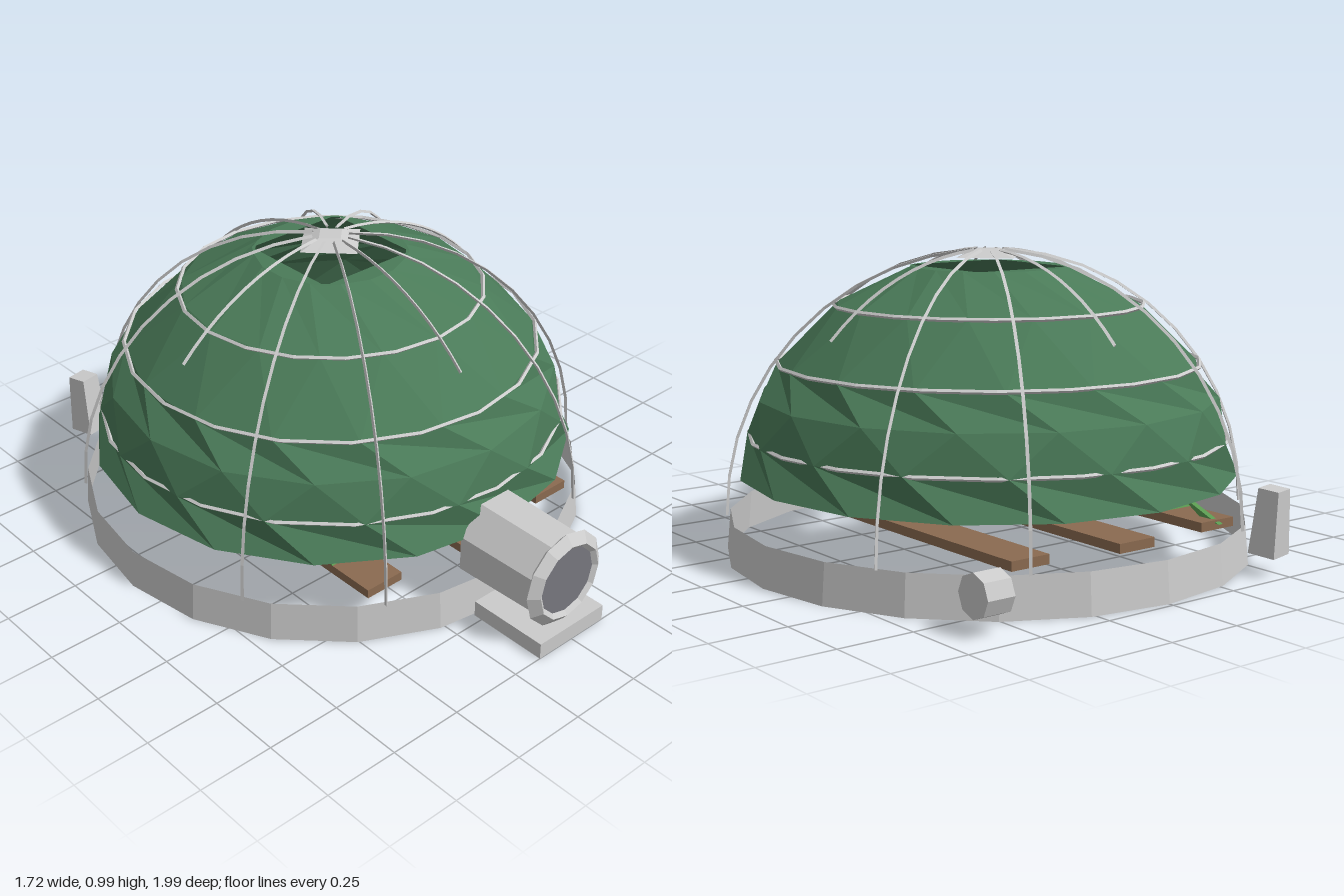
import * as THREE from 'three';

const mat = (color) => new THREE.MeshStandardMaterial({ color, flatShading: true, side: THREE.DoubleSide });
const CZ = -0.125; // centre of the dome along z
const BASE = 0.13; // height of the foundation ring
const R = 0.855; // radius of the frame sphere

export function createModel() {
  const group = new THREE.Group();
  const grey = mat(0xcccccc);
  const dark = mat(0x77777f);
  const canopyGreen = mat(0x4a7a58);
  const leafGreen = mat(0x5a9a50);
  const wood = mat(0x8a6a50);

  const add = (name, geometry, material, x = 0, y = 0, z = 0) => {
    const mesh = new THREE.Mesh(geometry, material);
    mesh.name = name;
    mesh.position.set(x, y, z);
    group.add(mesh);
    return mesh;
  };

  // Foundation wall, an open ring
  add('foundationRing', new THREE.CylinderGeometry(0.848, 0.86, BASE, 20, 1, true), grey, 0, BASE / 2, CZ);

  // Canopy: faceted shell, alternate rings turned half a step, square vent on top
  const profile = [[0.815, 0.265], [0.785, 0.39], [0.75, 0.515], [0.685, 0.62], [0.495, 0.81], [0.25, 0.93], [0.18, 0.93]];
  const sides = 16;
  const canopy = new THREE.LatheGeometry(profile.map(([r, y]) => new THREE.Vector2(r, y)), sides);
  const pos = canopy.attributes.position;
  for (let i = 0; i < pos.count; i++) {
    const row = i % profile.length;
    const x = pos.getX(i);
    const z = pos.getZ(i);
    if (row === profile.length - 1) {
      const s = 0.182 / Math.max(Math.abs(x), Math.abs(z));
      pos.setXYZ(i, x * s, pos.getY(i), z * s);
    } else if (row % 2) {
      const a = Math.PI / sides;
      pos.setXYZ(i, x * Math.cos(a) - z * Math.sin(a), pos.getY(i), x * Math.sin(a) + z * Math.cos(a));
    }
  }
  add('canopy', canopy, canopyGreen, 0, 0, CZ);

  // Thin ribs; the four on the main axes only cover the upper part
  for (let k = 0; k < 12; k++) {
    const a = (k * Math.PI) / 6;
    const start = k % 3 === 0 ? 0.78 : 0;
    const points = [];
    for (let i = 0; i <= 8; i++) {
      const e = start + ((1.5 - start) * i) / 8;
      points.push(new THREE.Vector3(R * Math.cos(e) * Math.sin(a), BASE + R * Math.sin(e), R * Math.cos(e) * Math.cos(a)));
    }
    add('rib', new THREE.TubeGeometry(new THREE.CatmullRomCurve3(points), 10, 0.006, 3), grey, 0, 0, CZ);
  }

  // Horizontal hoops
  for (const [r, y] of [[0.782, 0.39], [0.69, 0.625], [0.505, 0.81]]) {
    const hoop = add('hoop', new THREE.TorusGeometry(r, 0.007, 4, 20), grey, 0, y, CZ);
    hoop.rotation.x = Math.PI / 2;
  }

  // Crown plate over the vent
  add('crownPlate', new THREE.CylinderGeometry(0.05, 0.13, 0.025, 4), grey, 0, 0.973, CZ);

  // Entrance tunnel with rim, dark door and step
  const tunnel = add('entranceTunnel', new THREE.CylinderGeometry(0.15, 0.157, 0.3, 8, 1, true), grey, 0, 0.208, 0.8);
  tunnel.rotation.set(Math.PI / 2, Math.PI / 8, 0);
  const rim = add('entranceRim', new THREE.TorusGeometry(0.13, 0.034, 4, 12), grey, 0, 0.208, 0.95);
  rim.scale.z = 0.8;
  const door = add('entranceDoor', new THREE.CylinderGeometry(0.115, 0.115, 0.02, 12), dark, 0, 0.208, 0.955);
  door.rotation.x = Math.PI / 2;
  add('entranceStep', new THREE.BoxGeometry(0.285, 0.055, 0.28), grey, 0, 0.0275, 0.86);

  // Three planting beds
  for (const [x, length] of [[-0.378, 1.36], [0, 1.44], [0.378, 1.36]]) {
    add('plantingBed', new THREE.BoxGeometry(0.14, 0.03, length), wood, x, 0.147, CZ);
  }

  // Plants on one bed: outlines in z and y, extruded across the bed
  const plant = (outline, width) => {
    const shape = new THREE.Shape(outline.map(([z, y]) => new THREE.Vector2(-z, y)));
    const geometry = new THREE.ExtrudeGeometry(shape, { depth: width, bevelEnabled: false });
    geometry.translate(0, 0, -width / 2);
    geometry.rotateY(Math.PI / 2);
    add('plant', geometry, leafGreen, -0.378, 0, 0);
  };
  plant([[0.39, 0.16], [0.06, 0.16], [0.06, 0.3], [0.28, 0.28]], 0.14);
  plant([[-0.4, 0.16], [-0.62, 0.16], [-0.56, 0.28], [-0.42, 0.28]], 0.14);
  plant([[0.04, 0.25], [0.04, 0.165], [-0.14, 0.22]], 0.02);
  plant([[-0.3, 0.17], [-0.38, 0.17], [-0.46, 0.25], [-0.33, 0.24]], 0.02);
  plant([[-0.64, 0.22], [-0.74, 0.16], [-0.82, 0.15]], 0.02);

  // Small tank lying behind the dome
  const tank = add('tank', new THREE.CylinderGeometry(0.067, 0.067, 0.095, 8), grey, 0.598, 0.113, -0.883);
  tank.rotation.z = Math.PI / 2;

  // Tapered control post behind the dome
  const post = add('controlPost', new THREE.CylinderGeometry(0.05, 0.065, 0.21, 4), grey, -0.475, 0.17, -0.94);
  post.rotation.set(-0.08, 1.0, 0);

  return group;
}
